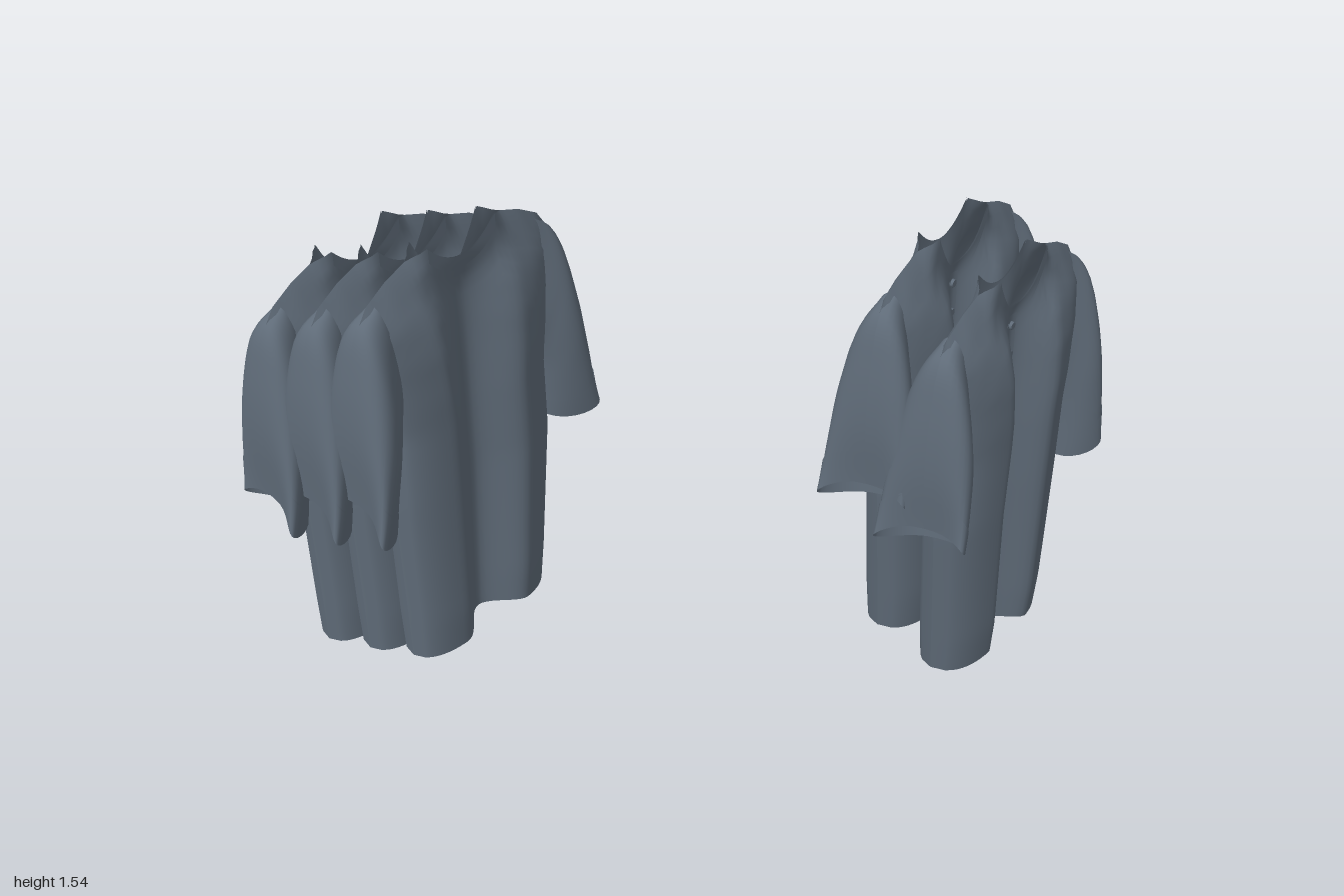
import * as THREE from 'three';

const { smoothstep, lerp } = THREE.MathUtils;

// Piecewise-linear lookup through [key, value] pairs
function lookup(pairs, k) {
  if (k <= pairs[0][0]) return pairs[0][1];
  for (let i = 1; i < pairs.length; i++) {
    const [k0, v0] = pairs[i - 1], [k1, v1] = pairs[i];
    if (k <= k1) return v0 + (v1 - v0) * (k - k0) / (k1 - k0);
  }
  return pairs[pairs.length - 1][1];
}

// Smooth surface grid from a point function of (a, b), both 0..1
function sheet(nA, nB, point) {
  const pos = [], index = [];
  for (let j = 0; j <= nB; j++)
    for (let i = 0; i <= nA; i++) pos.push(...point(i / nA, j / nB));
  for (let j = 0; j < nB; j++)
    for (let i = 0; i < nA; i++) {
      const p = j * (nA + 1) + i, q = p + nA + 1;
      index.push(p, p + 1, q, p + 1, q + 1, q);
    }
  const g = new THREE.BufferGeometry();
  g.setAttribute('position', new THREE.Float32BufferAttribute(pos, 3));
  g.setIndex(index);
  g.computeVertexNormals();
  return g;
}

// Shirt proportions: front faces +x, width runs along z
const NECK = 0.35;
const halfWidth = [[0, 0.285], [0.3, 0.305], [0.6, 0.325], [0.85, 0.32], [1.05, 0.35], [1.25, 0.39]];
const centreShift = [[0, -0.025], [0.6, 0], [1.4, 0]];
const depthAtHeight = [[0, 0.11], [0.15, 0.12], [0.95, 0.122], [1.1, 0.112], [1.2, 0.088], [1.29, 0.046], [1.41, 0.036]];
const shoulderLine = [[NECK, 1.405], [0.45, 1.385], [0.7, 1.35], [0.9, 1.305], [1, 1.25]];

function topEdge(s, side) {
  const a = Math.abs(s);
  if (a >= NECK) return lookup(shoulderLine, a);
  const dip = side > 0 ? 1.26 : 1.33;
  return dip + (1.405 - dip) * (a / NECK) ** 2;
}

// Depth across the panel: pinched at the centre, full at each fold, closed at the sides
function fold(a, side) {
  const rise = smoothstep(a, 0, side > 0 ? 0.42 : 0.5);
  return (0.1 + 0.9 * rise) * Math.sqrt(Math.max(0, 1 - a ** 3)) * (side > 0 ? 1.1 : 0.95);
}

// Point on the front (side 1) or back (side -1) panel at height y
function panelPoint(s, y, side, lift = 0) {
  const a = Math.abs(s);
  let depth = lookup(depthAtHeight, y) * fold(a, side);
  // the neck stays open, the shoulder seam closes
  const shoulder = smoothstep(a, NECK, 0.5);
  const open = smoothstep(y, 1.2, 1.34) * (1 - shoulder);
  depth = lerp(depth, 0.034, open * 0.9);
  const seam = Math.sqrt(Math.min(1, Math.max(0, topEdge(s, side) - y) / 0.1));
  depth *= lerp(1, seam, shoulder);
  const z = lookup(centreShift, y) + s * lookup(halfWidth, y);
  return [side * (depth + lift), y, z];
}

const hemLine = s => 0.012 + 0.022 * (0.5 + 0.5 * Math.cos(s * Math.PI));

function panel(side) {
  return sheet(40, 36, (a, b) => {
    const s = a * 2 - 1, y0 = hemLine(s);
    return panelPoint(s, y0 + (topEdge(s, side) - y0) * b, side);
  });
}

// Collar band following the neckline
function collar(side) {
  return sheet(24, 4, (a, b) => {
    const s = (a * 2 - 1) * NECK;
    return panelPoint(s, topEdge(s, side) - 0.045 * (1 - b), side, 0.004);
  });
}

// Sleeve: rings from inside the armhole to an open cuff whose corners flare outward
function sleeve(end, v0, v1, lift) {
  const drop = end < 0 ? 0.04 : 0;
  const skew = end < 0 ? 0.035 : -0.01, rise = end < 0 ? 0 : 0.03;
  const V = (u, y, w = 0) => new THREE.Vector3(u, y, w);
  const outer = new THREE.CatmullRomCurve3([
    V(0.33, 1.3, 0.055), V(0.395, 1.245, 0.095), V(0.43, 1.1, 0.125),
    V(0.445, 0.9, 0.14), V(0.43, 0.69 - drop, 0.147)]);
  const inner = new THREE.CatmullRomCurve3([
    V(0.27, 0.95), V(0.3, 0.88), V(0.318, 0.8), V(0.328, 0.7), V(0.335, 0.595 - drop)]);
  return sheet(32, 20, (a, b) => {
    const v = v0 + (v1 - v0) * b, t = a * Math.PI * 2;
    const o = outer.getPoint(v), i = inner.getPoint(v);
    const c = Math.cos(t) * (1 + lift), n = Math.sin(t) * (1 + lift);
    const across = Math.sign(n) * Math.abs(n) ** 0.85;
    const u = (o.x + i.x) / 2 + (o.x - i.x) / 2 * c + 0.07 * n * n * v ** 3;
    const y = (o.y + i.y) / 2 + (o.y - i.y) / 2 * c;
    const x = 0.022 * v + o.z * across;
    return [x, y + rise * n * v * v, end * u + skew * n * v * v];
  });
}

export function createModel() {
  const model = new THREE.Group();
  model.name = 'hangingShirts';
  const cloth = new THREE.MeshStandardMaterial({ color: 0x5f6b78, side: THREE.DoubleSide });
  cloth.name = 'slate cloth';

  const parts = [
    ['frontPanel', panel(1)],
    ['backPanel', panel(-1)],
    ['frontCollar', collar(1)],
    ['backCollar', collar(-1)],
    ['leftSleeve', sleeve(-1, 0, 1, 0)],
    ['rightSleeve', sleeve(1, 0, 1, 0)],
    ['leftCuff', sleeve(-1, 0.86, 1, 0.02)],
    ['rightCuff', sleeve(1, 0.86, 1, 0.02)],
    // button strip down the front
    ['placket', sheet(4, 30, (a, b) =>
      panelPoint((a - 0.5) * 0.12, 0.036 + 1.19 * b, 1, 0.004))],
  ];
  const buttonShape = new THREE.CylinderGeometry(0.012, 0.014, 0.012, 14).rotateZ(-Math.PI / 2);
  const buttonHeights = [1.19, 1.09, 0.96, 0.81, 0.63, 0.44, 0.22];

  function shirt(name) {
    const g = new THREE.Group();
    g.name = name;
    for (const [part, geometry] of parts) {
      const m = new THREE.Mesh(geometry, cloth);
      m.name = part;
      g.add(m);
    }
    for (const y of buttonHeights) {
      const b = new THREE.Mesh(buttonShape, cloth);
      b.name = 'button';
      b.position.set(...panelPoint(0, y, 1, 0.008));
      g.add(b);
    }
    return g;
  }

  // Two rows facing opposite ways, each shirt hung a little higher: x, height, z, turn
  const places = [
    [-0.82, 0, 0.53, Math.PI], [-0.617, 0.07, 0.53, Math.PI], [-0.412, 0.15, 0.53, Math.PI],
    [0.817, 0, -0.53, 0], [0.607, 0.07, -0.53, 0],
  ];
  places.forEach(([x, y, z, turn], i) => {
    const s = shirt('shirt' + (i + 1));
    s.position.set(x, y - 0.012, z);
    s.rotation.y = turn;
    model.add(s);
  });
  return model;
}
